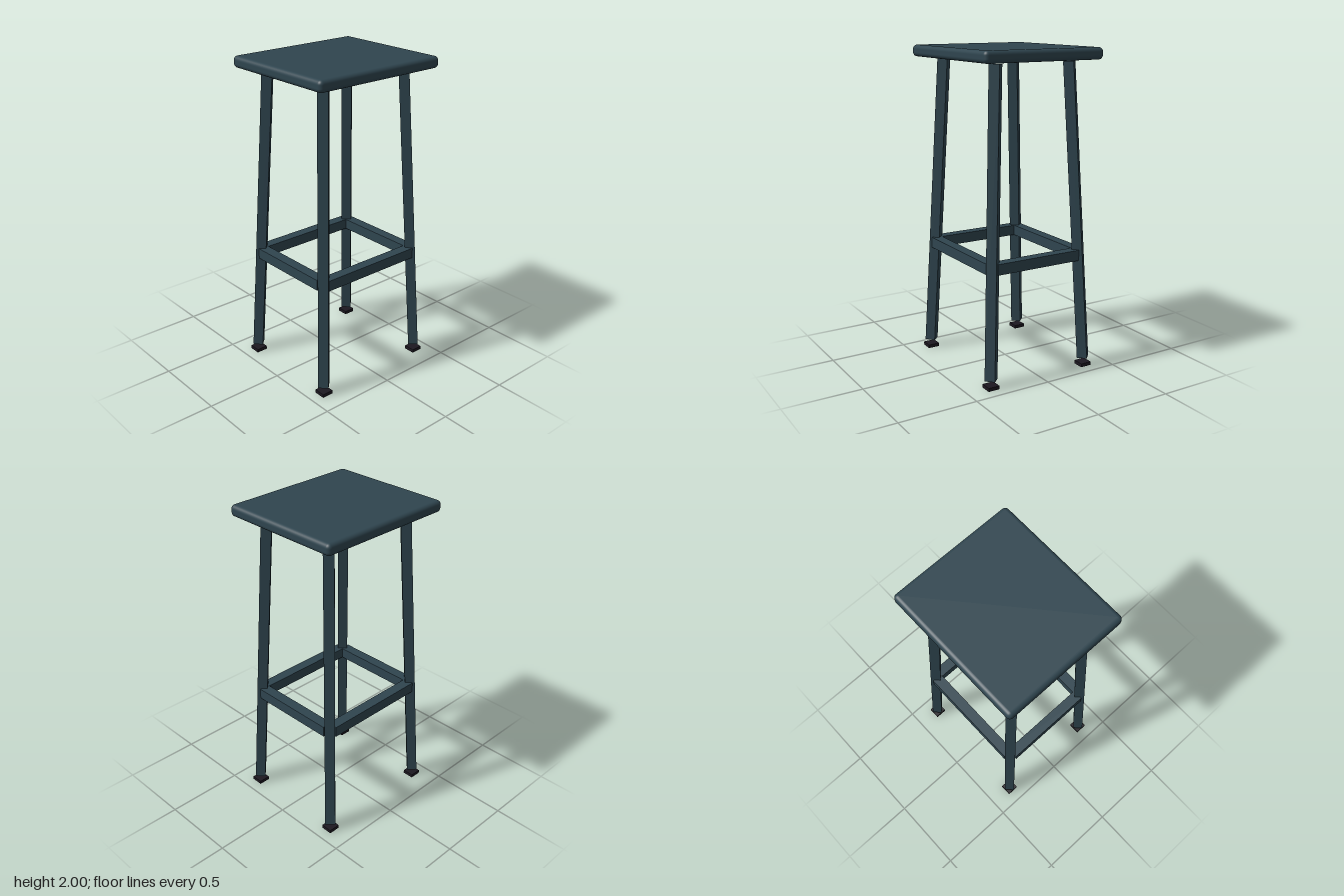
import * as THREE from 'three';
import { RoundedBoxGeometry } from 'three/addons/geometries/RoundedBoxGeometry.js';

export function createModel() {
  const stool = new THREE.Group();
  stool.name = 'barStool';

  const paint = new THREE.MeshStandardMaterial({ color: 0x2f454f });
  paint.name = 'slate blue paint';
  const legPaint = paint;
  const rubber = new THREE.MeshStandardMaterial({ color: 0x1c1820 });
  rubber.name = 'dark rubber';

  const add = (name, geometry, material, x, y, z) => {
    const mesh = new THREE.Mesh(geometry, material);
    mesh.name = name;
    mesh.position.set(x, y, z);
    stool.add(mesh);
    return mesh;
  };

  // Seat slab with softly rounded edges
  add('seat', new RoundedBoxGeometry(0.914, 0.072, 0.81, 4, 0.026), paint, 0, 1.964, 0);

  // Splayed square legs, set diagonally, each above a small foot pad
  const up = new THREE.Vector3(0, 1, 0);
  for (const sx of [-1, 1]) {
    for (const sz of [-1, 1]) {
      const side = (sz > 0 ? 'front' : 'back') + (sx > 0 ? 'Left' : 'Right');
      const top = new THREE.Vector3(sx * 0.312, 1.918, sz * 0.255);
      const bottom = new THREE.Vector3(sx * 0.393, 0.053, sz * 0.34);
      const axis = top.clone().sub(bottom);
      const mid = top.clone().add(bottom).multiplyScalar(0.5);
      // non-indexed with face normals keeps the four sides flat
      const shape = new THREE.CylinderGeometry(0.045, 0.045, axis.length(), 4).toNonIndexed();
      shape.computeVertexNormals();
      const leg = add(side + 'Leg', shape, legPaint, mid.x, mid.y, mid.z);
      leg.quaternion.setFromUnitVectors(up, axis.normalize());

      add(side + 'Foot', new THREE.BoxGeometry(0.074, 0.022, 0.074), rubber, sx * 0.393, 0.011, sz * 0.341);
    }
  }

  // Ring of four footrest rails
  for (const s of [-1, 1]) {
    add(s > 0 ? 'frontRail' : 'backRail', new THREE.BoxGeometry(0.694, 0.067, 0.067), paint, 0, 0.734, s * 0.312);
    add(s > 0 ? 'leftRail' : 'rightRail', new THREE.BoxGeometry(0.067, 0.067, 0.58), paint, s * 0.365, 0.734, 0);
  }

  return stool;
}
